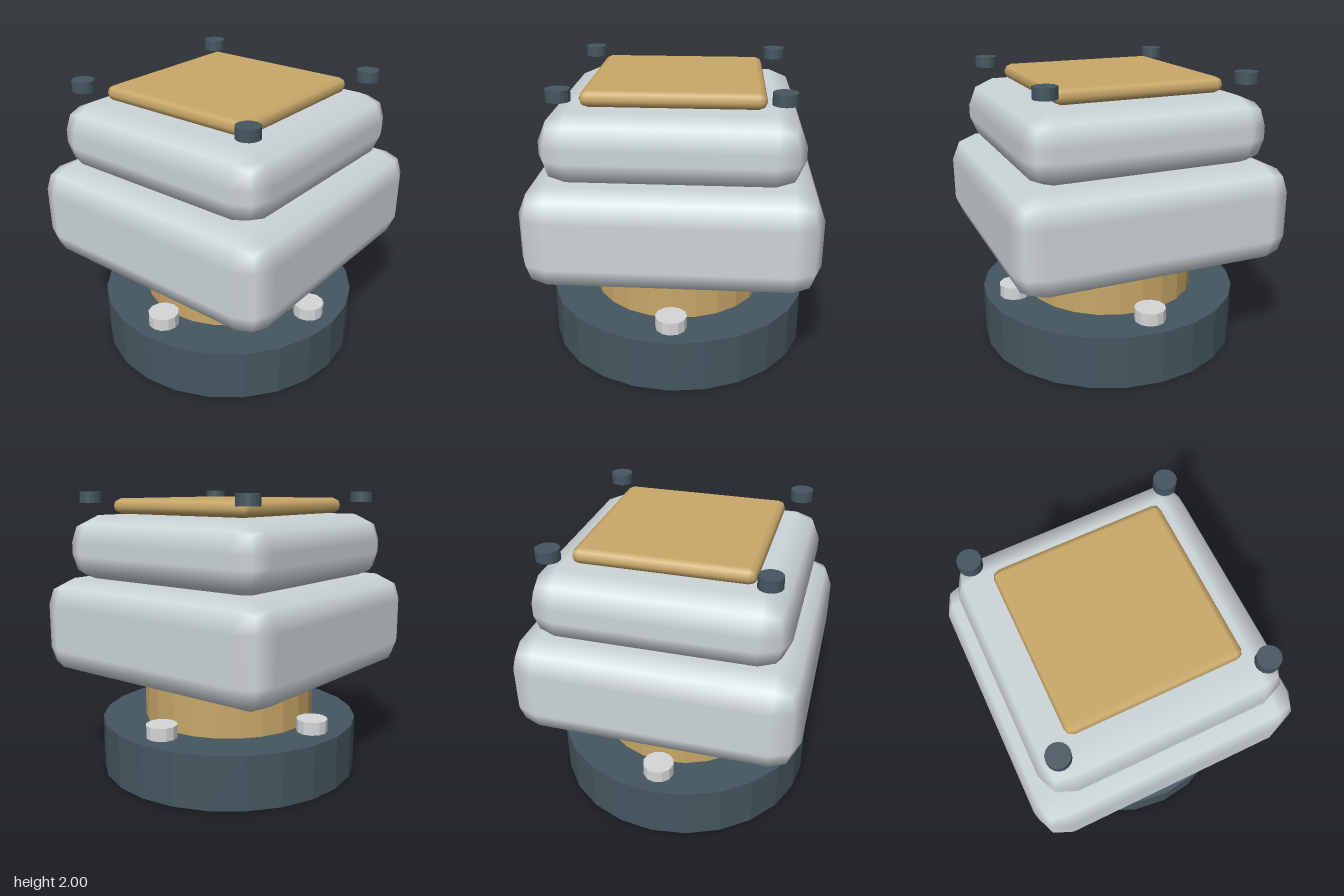
import * as THREE from 'three';
import { RoundedBoxGeometry } from 'three/addons/geometries/RoundedBoxGeometry.js';

export function createModel() {
  const model = new THREE.Group();
  model.name = 'stackedTower';

  const material = (name, color) => {
    const m = new THREE.MeshStandardMaterial({ color });
    m.name = name;
    return m;
  };
  const slate = material('slate', 0x455660);
  const gold = material('gold', 0xc9a869);
  const shell = material('paleGrey', 0xcdd5d9);
  const steel = material('steel', 0xd4d6d8);

  // Faceted cylinders keep hard edges between their sides
  const faceted = (radius, height, sides) => {
    const g = new THREE.CylinderGeometry(radius, radius, height, sides).toNonIndexed();
    g.computeVertexNormals();
    return g;
  };
  const add = (name, geometry, mat, x, y, z) => {
    const mesh = new THREE.Mesh(geometry, mat);
    mesh.name = name;
    mesh.position.set(x, y, z);
    model.add(mesh);
  };

  // Base drum and the turntable on it
  add('base', faceted(0.935, 0.375, 24), slate, 0, 0.1875, 0);
  add('turntable', faceted(0.62, 0.28, 24), gold, 0, 0.515, 0);

  // Four bolts around the base
  const bolt = faceted(0.108, 0.09, 12);
  for (let i = 0; i < 4; i++) {
    const a = (i * Math.PI) / 2;
    add('bolt', bolt, steel, 0.732 * Math.sin(a), 0.42, 0.732 * Math.cos(a));
  }

  // Softly rounded body blocks and top pad
  add('lowerBody', new RoundedBoxGeometry(1.93, 0.68, 1.93, 1, 0.185), shell, 0, 1.06, 0);
  add('upperBody', new RoundedBoxGeometry(1.68, 0.46, 1.68, 1, 0.187), shell, 0, 1.61, 0);
  add('topPad', new RoundedBoxGeometry(1.18, 0.107, 1.18, 1, 0.052), gold, 0, 1.902, 0);

  // Floating corner studs
  const stud = faceted(0.078, 0.075, 16);
  for (const x of [-0.685, 0.685]) {
    for (const z of [-0.685, 0.685]) add('cornerStud', stud, slate, x, 1.9625, z);
  }

  return model;
}
